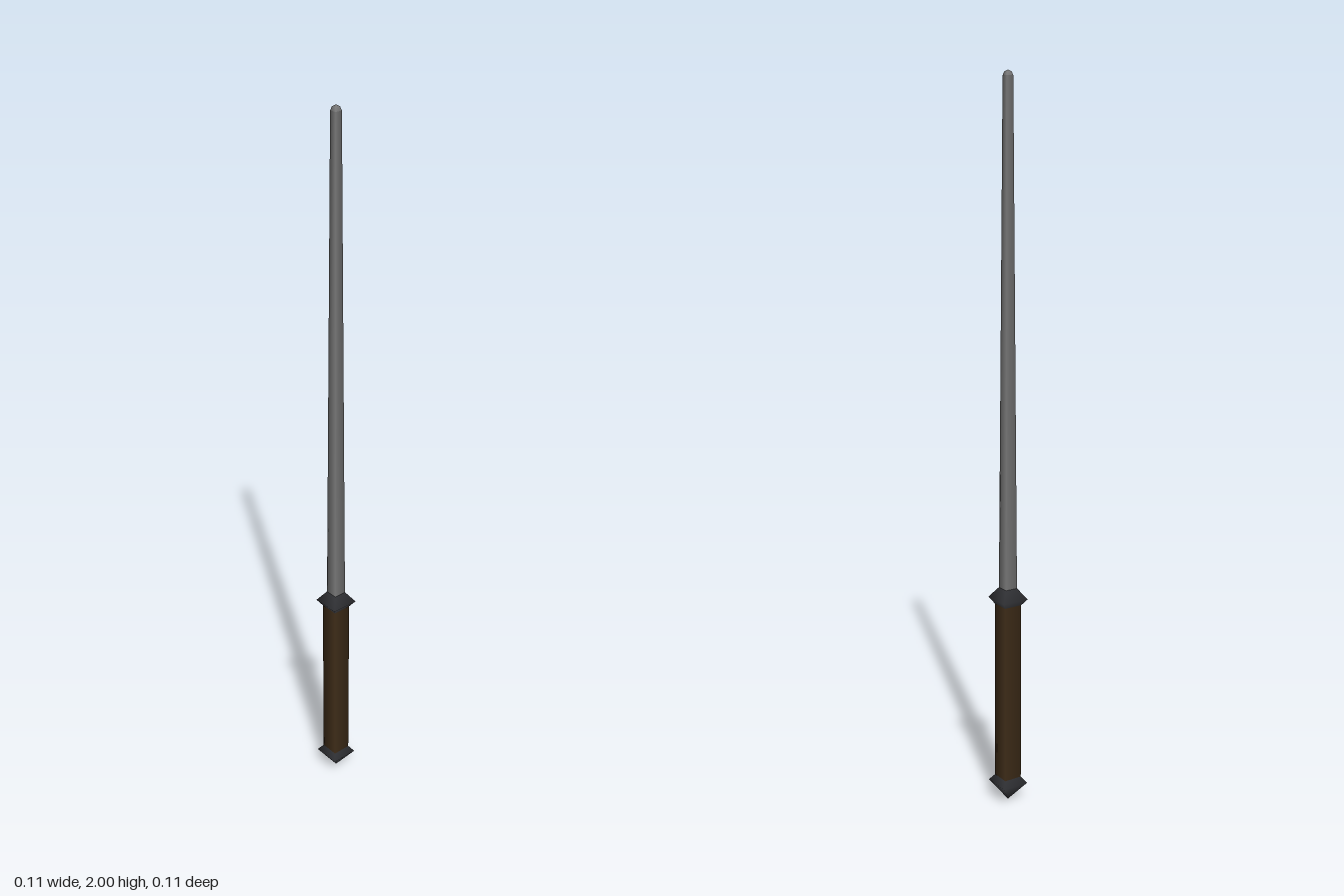
import * as THREE from 'three';

export function createModel() {
  const model = new THREE.Group();
  model.name = 'baton';

  const steel = new THREE.MeshStandardMaterial({ color: 0x777777 });
  const darkMetal = new THREE.MeshStandardMaterial({ color: 0x35363a });
  const leather = new THREE.MeshStandardMaterial({ color: 0x3e2c18 });

  const add = (name, geometry, material, y = 0) => {
    const mesh = new THREE.Mesh(geometry, material);
    mesh.name = name;
    mesh.position.y = y;
    model.add(mesh);
  };

  const sides = 4;
  const knobRadius = 0.055;
  const pommelY = knobRadius;
  const guardY = 0.606;

  // Diamond knobs at both ends of the grip
  const knob = new THREE.SphereGeometry(knobRadius, sides, 2);
  add('pommel', knob, darkMetal, pommelY);
  add('guard', knob, darkMetal, guardY);

  // Square grip, corners facing the axes
  const grip = new THREE.CylinderGeometry(0.037, 0.037, guardY - pommelY, sides);
  add('grip', grip, leather, (pommelY + guardY) / 2);

  // Tapered rod
  const rodBottom = 0.6, rodTop = 1.986;
  const rod = new THREE.CylinderGeometry(0.0137, 0.0255, rodTop - rodBottom, sides);
  add('rod', rod, steel, (rodBottom + rodTop) / 2);

  // Rounded tip
  const tipProfile = [[0.0137, 0], [0.0095, 0.0095], [0, 0.014]]
    .map(([r, y]) => new THREE.Vector2(r, y));
  add('tip', new THREE.LatheGeometry(tipProfile, sides), steel, rodTop);

  return model;
}
